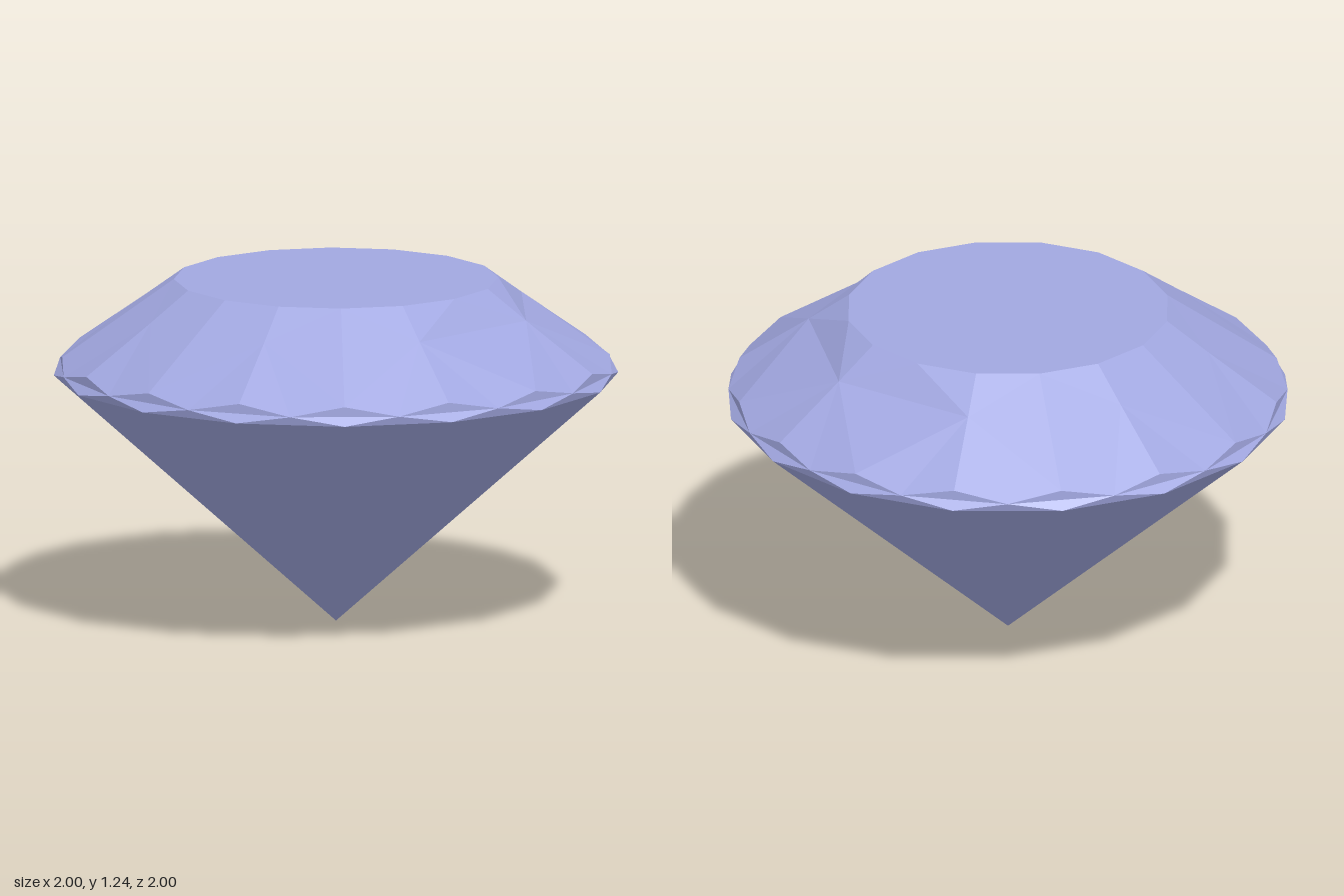
import * as THREE from 'three';

const SIDES = 16;

// point on a ring: step counts sixteenths of a turn, starting at +x and moving towards +z
const at = (radius, y, step) => {
  const a = (step / SIDES) * Math.PI * 2;
  return new THREE.Vector3(radius * Math.cos(a), y, radius * Math.sin(a));
};
const table = (i) => at(0.575, 1.235, i);
const middle = (i) => at(0.72, 1.13, i);
const girdleTop = (i) => at(0.97, 0.955, i);
const girdleSide = (i) => at(0.99, 0.92, i);
const girdleLow = (i) => at(1, 0.89, i);

// flat facets from corner triples, each turned to face away from the gem's heart
function facets(name, triangles, material) {
  const heart = new THREE.Vector3(0, 0.8, 0);
  const points = [];
  for (const [a, b, c] of triangles) {
    const normal = b.clone().sub(a).cross(c.clone().sub(a));
    const outward = normal.dot(a.clone().sub(heart)) > 0;
    points.push(a, ...(outward ? [b, c] : [c, b]));
  }
  const geometry = new THREE.BufferGeometry().setFromPoints(points);
  geometry.computeVertexNormals();
  const mesh = new THREE.Mesh(geometry, material);
  mesh.name = name;
  return mesh;
}

export function createModel() {
  const gem = new THREE.MeshStandardMaterial({ color: 0xa1a7e0, flatShading: true });
  gem.name = 'periwinkle gem';

  const top = [], stars = [], kites = [], upper = [], girdle = [], pavilion = [];
  const centre = new THREE.Vector3(0, 1.235, 0);
  const tip = new THREE.Vector3(0, 0, 0);

  for (let i = 0; i < SIDES; i++) {
    // flat table on top
    top.push([centre, table(i), table(i + 1)]);

    // rim: a pair of triangles at every step
    const left = girdleSide(i - 0.5), right = girdleSide(i + 0.5);
    girdle.push([girdleTop(i), left, right], [girdleLow(i), left, right]);

    // pointed underside
    pavilion.push([tip, girdleLow(i), girdleLow(i + 1)]);
    pavilion.push([girdleLow(i), girdleSide(i + 0.5), girdleLow(i + 1)]);

    if (i % 2) {
      // star and upper rim facets around each middle corner
      const m = middle(i);
      for (const s of [-1, 1]) {
        stars.push([table(i), table(i + s), m]);
        upper.push([m, girdleTop(i), girdleSide(i + s / 2)]);
        upper.push([m, girdleSide(i + s / 2), girdleTop(i + s)]);
      }
    } else {
      // kites between the middle corners, folded across or lengthwise
      const a = middle(i - 1), b = middle(i + 1);
      if (i < 6) kites.push([table(i), a, b], [girdleTop(i), a, b]);
      else kites.push([table(i), girdleTop(i), a], [table(i), girdleTop(i), b]);
    }
  }

  const model = new THREE.Group();
  model.name = 'cutGem';
  model.add(
    facets('table', top, gem),
    facets('starFacets', stars, gem),
    facets('kiteFacets', kites, gem),
    facets('upperFacets', upper, gem),
    facets('girdle', girdle, gem),
    facets('pavilion', pavilion, gem),
  );
  return model;
}
